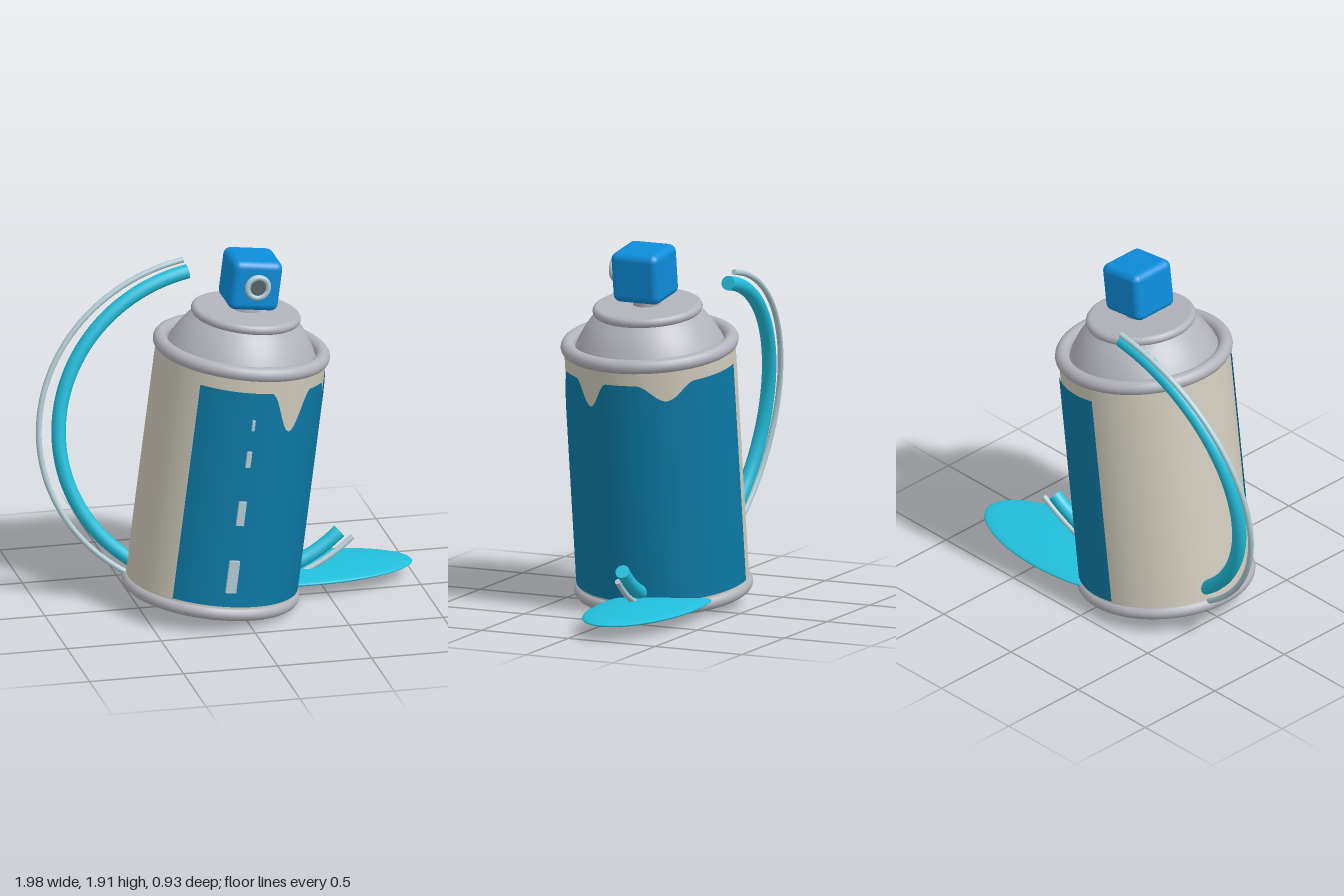
import * as THREE from 'three';
import { RoundedBoxGeometry } from 'three/addons/geometries/RoundedBoxGeometry.js';

const mat = (name, color, side = THREE.FrontSide) => {
  const m = new THREE.MeshStandardMaterial({ color, side });
  m.name = name;
  return m;
};

export function createModel() {
  const cream = mat('cream', 0xd0cbbc);
  const metal = mat('metal grey', 0xb3b3bc);
  const labelBlue = mat('label blue', 0x0c7aa6, THREE.DoubleSide);
  const capBlue = mat('cap blue', 0x0d8ddb);
  const cyan = mat('cyan', 0x22bfdc);
  const pale = mat('pale blue grey', 0xb2cdd4);
  const dark = mat('dark grey', 0x56656d);

  const model = new THREE.Group();
  model.name = 'sprayCan';
  const can = new THREE.Group();
  can.name = 'can';
  can.position.set(-0.12, 0.095, 0);
  can.rotation.z = -0.126;
  model.add(can);

  const add = (parent, name, geometry, material, x = 0, y = 0, z = 0) => {
    const mesh = new THREE.Mesh(geometry, material);
    mesh.name = name;
    mesh.position.set(x, y, z);
    parent.add(mesh);
    return mesh;
  };
  const ring = (name, radius, tube, y) => {
    const mesh = add(can, name, new THREE.TorusGeometry(radius, tube, 16, 72), metal, 0, y, 0);
    mesh.rotation.x = Math.PI / 2;
  };

  // Body, rims and shoulder
  add(can, 'body', new THREE.CylinderGeometry(0.444, 0.444, 1.34, 72), cream, 0, 0.64, 0);
  ring('bottomRim', 0.428, 0.036, 0);
  ring('topRim', 0.424, 0.038, 1.315);
  const dome = [[0.39, 1.3], [0.375, 1.34], [0.34, 1.4], [0.303, 1.45], [0.255, 1.495]];
  add(can, 'shoulder', new THREE.LatheGeometry(dome.map(p => new THREE.Vector2(...p)), 72), metal);
  ring('collarEdge', 0.26, 0.026, 1.502);
  add(can, 'collar', new THREE.CylinderGeometry(0.262, 0.262, 0.05, 72), metal, 0, 1.503, 0);

  // Label wrapped part of the way round, its top edge cut by drips
  const drips = [[0.447, 0.215, 0.29], [1.24, 0.135, 0.24], [2.2, 0.09, 0.36]];
  const bottom = 0.045, top = 1.22;
  const label = new THREE.CylinderGeometry(0.451, 0.451, top - bottom, 160, 1, true, -0.7, 3.98);
  const pos = label.attributes.position;
  for (let i = 0; i < pos.count; i++) {
    if (pos.getY(i) < 0) continue;
    const angle = Math.atan2(pos.getX(i), pos.getZ(i));
    let y = pos.getY(i);
    for (const [centre, depth, half] of drips) {
      const t = Math.abs(angle - centre) / half;
      if (t < 1) y -= depth * Math.cos(t * Math.PI / 2) ** 2;
    }
    pos.setY(i, y);
  }
  add(can, 'label', label, labelBlue, 0, (top + bottom) / 2, 0);

  // Dashes shrinking up the front
  for (const [x, y, w, h] of [[-0.017, 0.214, 0.055, 0.175], [-0.015, 0.562, 0.04, 0.13],
    [-0.013, 0.86, 0.025, 0.085], [-0.011, 1.047, 0.014, 0.055]]) {
    add(can, 'dash', new THREE.BoxGeometry(w, h, 0.018), pale, x, y, 0.458);
  }

  // Spray button with its nozzle
  add(can, 'stem', new THREE.CylinderGeometry(0.075, 0.075, 0.06, 32), metal, 0, 1.545, 0);
  add(can, 'button', new RoundedBoxGeometry(0.268, 0.268, 0.27, 5, 0.04), capBlue, 0, 1.693, 0.005);
  const base = add(can, 'nozzleBase', new THREE.CylinderGeometry(0.052, 0.052, 0.04, 32), dark, 0, 1.702, 0.155);
  base.rotation.x = Math.PI / 2;
  add(can, 'nozzleRing', new THREE.TorusGeometry(0.055, 0.015, 12, 40), pale, 0, 1.702, 0.168);

  // Hoop tubes: elliptical arcs in a leaning plane, closed at both ends
  const hoop = (name, rx, ry, z0, radius, endX, startX, material) => {
    const a0 = Math.PI - Math.acos(-startX / rx);
    const a1 = 2 * Math.PI - Math.acos(endX / rx);
    const points = [];
    for (let i = 0; i <= 40; i++) {
      const a = a0 + (a1 - a0) * i / 40;
      const y = 0.9 + ry * Math.sin(a);
      points.push(new THREE.Vector3(rx * Math.cos(a), y, z0 - 0.172 * y));
    }
    const curve = new THREE.CatmullRomCurve3(points);
    add(model, name, new THREE.TubeGeometry(curve, 120, radius, 16), material);
    for (const [t, sign] of [[0, -1], [1, 1]]) {
      const p = curve.getPoint(t);
      const end = add(model, name + 'End', new THREE.CircleGeometry(radius, 16), material, p.x, p.y, p.z);
      end.lookAt(p.clone().addScaledVector(curve.getTangent(t), sign));
    }
  };
  hoop('hoopTube', 0.875, 0.82, -0.06, 0.0375, 0.592, -0.155, cyan);
  hoop('hoopLine', 0.977, 0.878, -0.075, 0.015, 0.665, -0.175, pale);

  // Flat oval foot at the side
  const foot = add(model, 'foot', new THREE.SphereGeometry(1, 64, 24), cyan, 0.42, 0.085, -0.175);
  foot.scale.set(0.572, 0.03, 0.257);

  return model;
}
